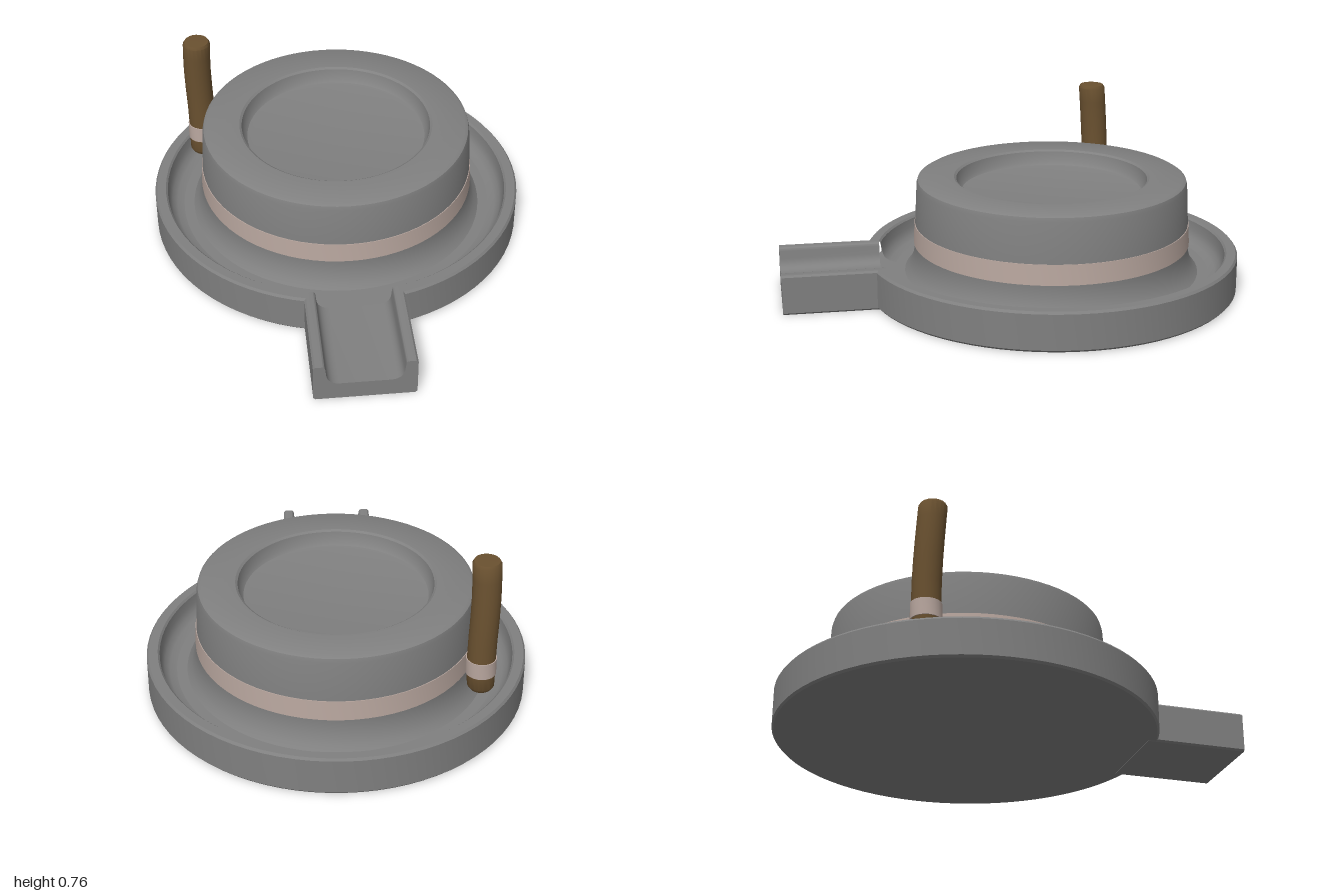
import * as THREE from 'three';
import { toCreasedNormals } from 'three/addons/utils/BufferGeometryUtils.js';

const CENTER_Z = -0.185;

export function createModel() {
  const model = new THREE.Group();
  model.name = 'stoneMill';

  const material = (name, color) => {
    const m = new THREE.MeshStandardMaterial({ color });
    m.name = name;
    return m;
  };
  const stone = material('grey stone', 0x808080);
  const band = material('pale band', 0xb9a79f);
  const wood = material('brown wood', 0x6a5130);

  const add = (name, geometry, mat, z = 0) => {
    const mesh = new THREE.Mesh(toCreasedNormals(geometry, 0.6), mat);
    mesh.name = name;
    mesh.position.z = z;
    model.add(mesh);
    return mesh;
  };
  // Profiles run from the bottom, outward and up, then back in
  const lathe = (pairs, start = 0, length = Math.PI * 2, segments = 72) =>
    new THREE.LatheGeometry(pairs.map(([r, y]) => new THREE.Vector2(r, y)), segments, start, length);

  // Tray floor, full disc
  add('trayFloor', lathe([[0, 0.003], [0.795, 0.003], [0.795, 0.078], [0.6, 0.078], [0, 0.078]]), stone, CENTER_Z);

  // Tray rim, open at the front where the spout leaves
  const gap = 0.243;
  add('trayRim', lathe([
    [0.7, 0.003], [0.807, 0.003], [0.815, 0.012], [0.815, 0.165], [0.807, 0.175],
    [0.768, 0.175], [0.76, 0.167], [0.755, 0.13], [0.742, 0.1], [0.72, 0.085], [0.69, 0.078],
  ], gap, Math.PI * 2 - gap * 2), stone, CENTER_Z);

  // Spout: rounded channel section pushed forward
  const s = new THREE.Shape();
  s.moveTo(-0.202, 0);
  s.lineTo(0.202, 0);
  s.lineTo(0.21, 0.008);
  s.lineTo(0.21, 0.167);
  s.lineTo(0.202, 0.175);
  s.lineTo(0.172, 0.175);
  s.quadraticCurveTo(0.163, 0.174, 0.161, 0.16);
  s.lineTo(0.157, 0.125);
  s.quadraticCurveTo(0.15, 0.083, 0.105, 0.08);
  s.lineTo(-0.105, 0.08);
  s.quadraticCurveTo(-0.15, 0.083, -0.157, 0.125);
  s.lineTo(-0.161, 0.16);
  s.quadraticCurveTo(-0.163, 0.174, -0.172, 0.175);
  s.lineTo(-0.202, 0.175);
  s.lineTo(-0.21, 0.167);
  s.lineTo(-0.21, 0.008);
  s.closePath();
  add('spout', new THREE.ExtrudeGeometry(s, { depth: 0.44, bevelEnabled: false, curveSegments: 6 }), stone, 0.56);

  // Lower millstone, flaring into the tray
  add('lowerStone', lathe([[0.645, 0.078], [0.625, 0.1], [0.608, 0.14], [0.6, 0.18], [0.6, 0.207]]), stone, CENTER_Z);

  // Pale band between the stones
  add('stoneBand', lathe([[0.595, 0.207], [0.604, 0.207], [0.6, 0.295], [0.592, 0.295]]), band, CENTER_Z);

  // Upper millstone with a shallow dish in the top
  add('upperStone', lathe([
    [0.597, 0.295], [0.588, 0.47], [0.583, 0.488], [0.568, 0.497], [0.425, 0.497],
    [0.415, 0.49], [0.405, 0.445], [0.392, 0.432], [0.37, 0.428], [0, 0.428],
  ]), stone, CENTER_Z);

  // Slightly crooked handle, built from rings that follow the bend
  const handlePart = (name, rings, mat) => {
    const geometry = lathe(rings, 0, Math.PI * 2, 20);
    const p = geometry.attributes.position;
    for (let i = 0; i < p.count; i++) {
      const t = (p.getY(i) - 0.15) / 0.61;
      p.setX(i, p.getX(i) - 0.59 + 0.004 * Math.sin(t * Math.PI * 2));
      p.setZ(i, p.getZ(i) - 0.505 - 0.01 * Math.sin(t * Math.PI) + 0.015 * t);
    }
    add(name, geometry, mat);
  };
  handlePart('handleFoot', [[0, 0.15], [0.045, 0.152], [0.057, 0.17], [0.06, 0.235]], wood);
  handlePart('handleBand', [[0.058, 0.232], [0.064, 0.232], [0.064, 0.305], [0.058, 0.305]], band);
  handlePart('handle', [
    [0.06, 0.305], [0.06, 0.4], [0.06, 0.5], [0.06, 0.6], [0.06, 0.68], [0.06, 0.745], [0.053, 0.757], [0, 0.759],
  ], wood);

  return model;
}
